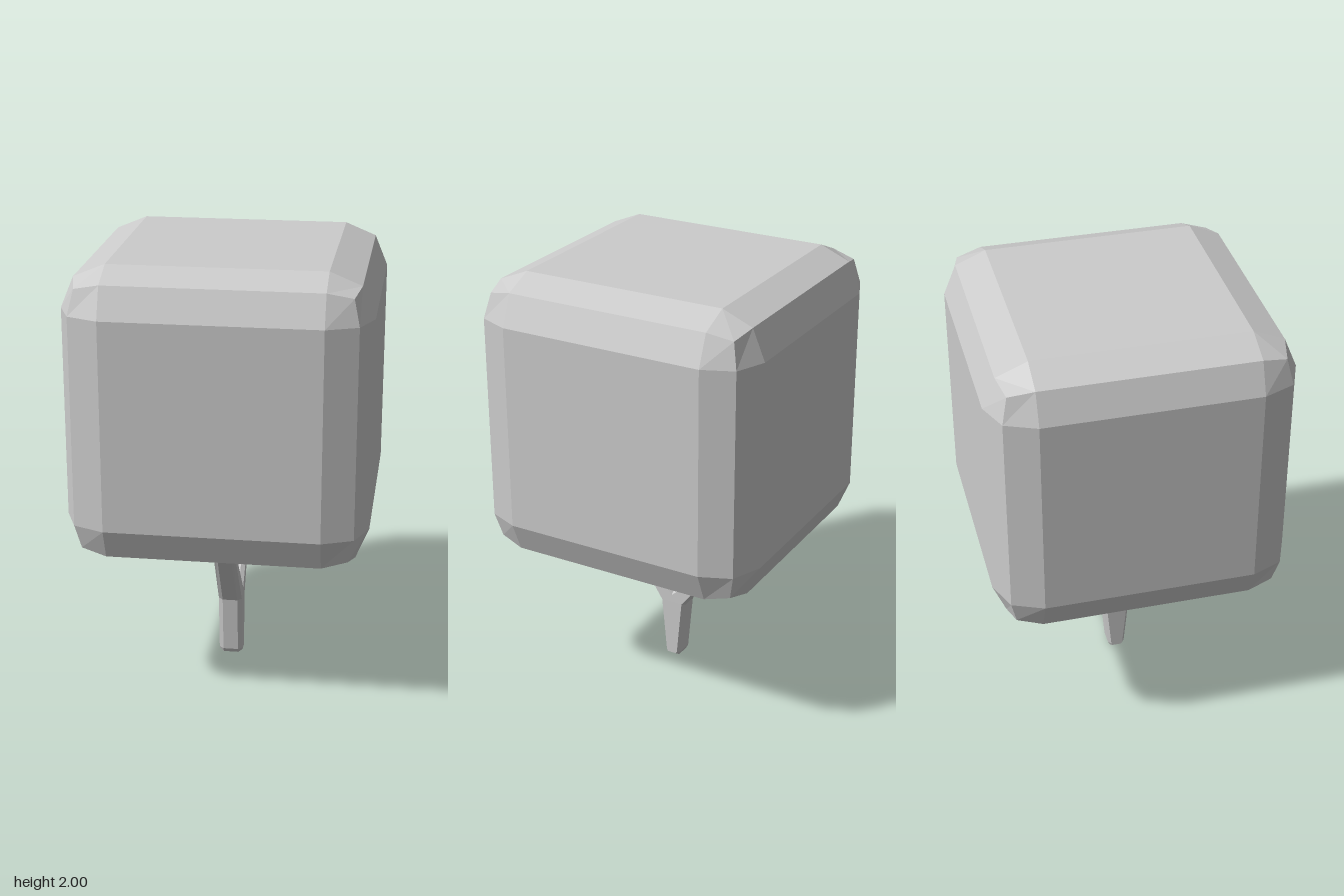
import * as THREE from 'three';
import { RoundedBoxGeometry } from 'three/addons/geometries/RoundedBoxGeometry.js';

export function createModel() {
  const tree = new THREE.Group();
  tree.name = 'tree';
  const material = new THREE.MeshStandardMaterial({ color: 0xcccccc, flatShading: true });

  // Crown: cube with one chamfer step on each side of its edges
  const crown = new THREE.Mesh(new RoundedBoxGeometry(1.33, 1.33, 1.33, 1, 0.195), material);
  crown.name = 'crown';
  crown.position.y = 1.335;
  tree.add(crown);

  // Forked trunk: outline as [z, y], with both branches ending inside the crown
  const outline = [
    [-0.03, 0], [0.03, 0], [0.04, 0.02], [0.065, 0.29],
    [0.363, 0.75], [0.33, 0.75], [0, 0.35],
    [-0.235, 0.565], [-0.245, 0.75], [-0.28, 0.75], [-0.28, 0.56],
    [-0.065, 0.29], [-0.04, 0.02],
  ].map(([z, y]) => new THREE.Vector2(z, y));
  const depth = 0.07;
  const geometry = new THREE.ExtrudeGeometry(new THREE.Shape(outline), {
    depth, bevelEnabled: true, bevelSegments: 1,
    bevelThickness: 0.02, bevelSize: 0.013, bevelOffset: -0.013,
  });
  geometry.translate(0, 0, -depth / 2);
  geometry.rotateY(-Math.PI / 2);

  // Branches get slightly thinner towards the crown
  const p = geometry.attributes.position;
  for (let i = 0; i < p.count; i++) {
    const t = Math.max(0, p.getY(i) - 0.3);
    p.setX(i, p.getX(i) * (1 - 0.3 * t));
  }
  geometry.computeVertexNormals();
  const trunk = new THREE.Mesh(geometry, material);
  trunk.name = 'trunk';
  tree.add(trunk);

  return tree;
}
